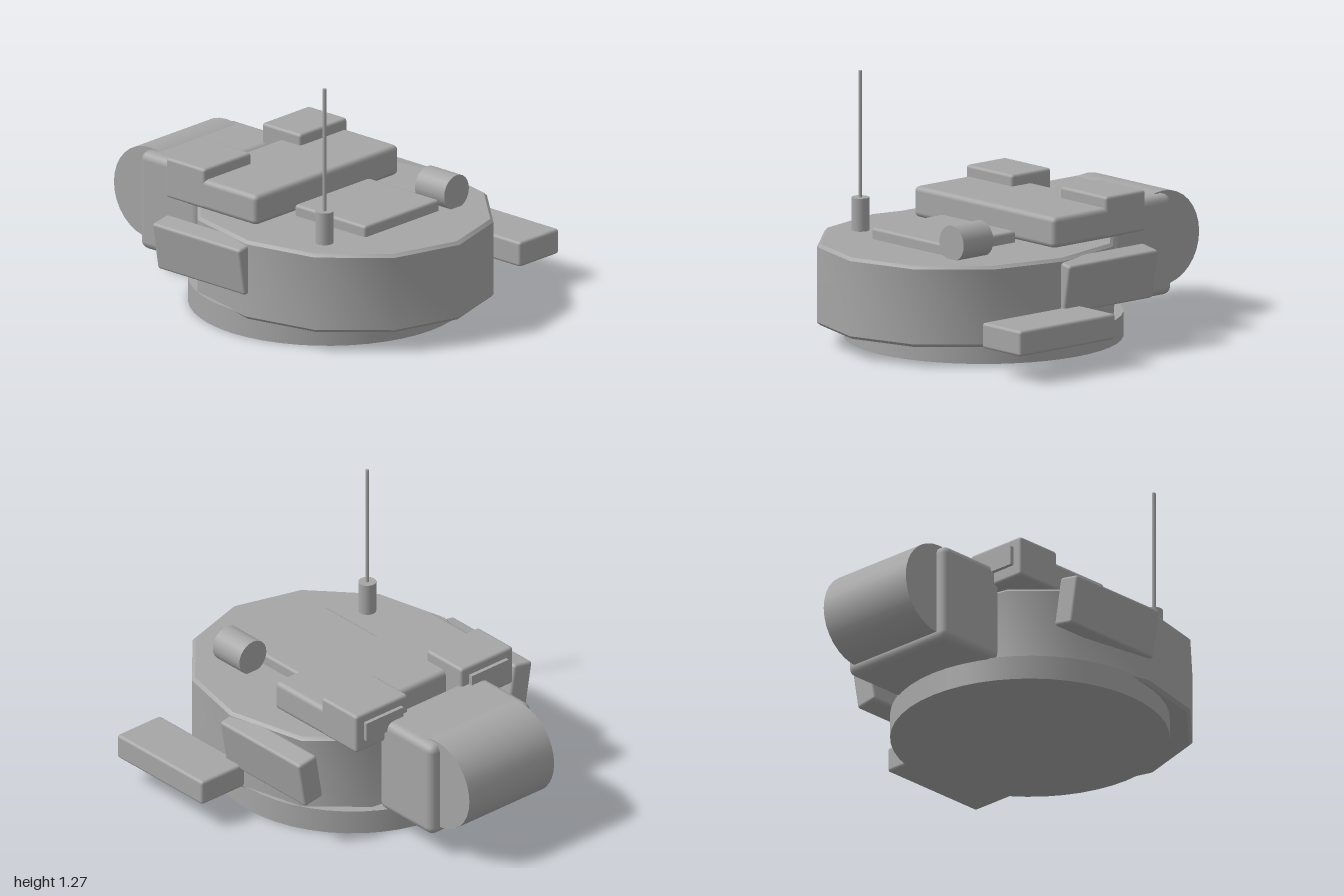
import * as THREE from 'three';
import { toCreasedNormals } from 'three/addons/utils/BufferGeometryUtils.js';
import { RoundedBoxGeometry } from 'three/addons/geometries/RoundedBoxGeometry.js';

const CX = -0.105; // symmetry plane of the turret

export function createModel() {
  const model = new THREE.Group();
  const grey = new THREE.MeshStandardMaterial({ color: 0xa6a6a6 });
  grey.name = 'grey paint';

  const add = (name, geometry, x = 0, y = 0, z = 0) => {
    const mesh = new THREE.Mesh(geometry, grey);
    mesh.name = name;
    mesh.position.set(x, y, z);
    model.add(mesh);
    return mesh;
  };
  // Rounded box from its min and max on each axis
  const box = (name, [x0, x1], [y0, y1], [z0, z1], r = 0.015) =>
    add(name, new RoundedBoxGeometry(x1 - x0, y1 - y0, z1 - z0, 2, r),
      (x0 + x1) / 2, (y0 + y1) / 2, (z0 + z1) / 2);

  // Turret ring
  add('turretRing', new THREE.CylinderGeometry(0.665, 0.665, 0.12, 48), CX, 0.06, 0.135);

  // Twelve-sided turret body with a small bevel
  const half = [[0, 0.99], [0.345, 0.89], [0.6, 0.61], [0.685, 0.24], [0.592, -0.16], [0.345, -0.39], [0, -0.45]];
  const outline = [...half, ...half.slice(1, -1).reverse().map(([x, z]) => [-x, z])];
  const bevel = 0.015;
  const shape = new THREE.Shape(outline.map(([x, z]) => new THREE.Vector2(x, -z)));
  const body = new THREE.ExtrudeGeometry(shape, {
    depth: 0.395 - 2 * bevel, bevelEnabled: true, bevelSize: bevel,
    bevelThickness: bevel, bevelOffset: -bevel, bevelSegments: 1,
  });
  body.rotateX(-Math.PI / 2);
  add('turretBody', toCreasedNormals(body, 0.62), CX, 0.1 + bevel, 0);

  // Rear bustle and the horizontal drum behind it
  box('rearBustle', [-0.43, 0.217], [0.115, 0.605], [-0.79, -0.405], 0.04);
  const drum = new THREE.CylinderGeometry(0.23, 0.23, 0.54, 32);
  drum.rotateZ(Math.PI / 2);
  add('rearDrum', drum, CX, 0.385, -0.77);

  // Roof housing and hatch
  box('roofHousing', [-0.605, 0.395], [0.495, 0.645], [-0.34, 0.135], 0.025);
  box('hatch', [-0.365, 0.155], [0.475, 0.55], [0.16, 0.62]);

  // Paired parts: roof pods with rear plates, and leaning side boxes
  for (const side of [-1, 1]) {
    const label = side > 0 ? 'left' : 'right';
    const px = CX + side * 0.335;
    box(label + 'RoofPod', [px - 0.165, px + 0.165], [0.5, 0.7], [-0.452, -0.2]);
    add(label + 'PodPlate', new THREE.BoxGeometry(0.235, 0.095, 0.025), px, 0.608, -0.4595);
    const sideBox = add(label + 'SideBox',
      new RoundedBoxGeometry(0.115, 0.243, 0.57, 2, 0.015), CX + side * 0.667, 0.355, -0.032);
    sideBox.rotation.z = -side * 0.17;
  }

  // Stowage box on the left flank
  box('stowageBox', [0.57, 0.845], [0.13, 0.255], [0.145, 0.755]);

  // Forward-facing sight
  const sight = new THREE.CylinderGeometry(0.086, 0.086, 0.19, 24);
  sight.rotateX(Math.PI / 2);
  add('sight', sight, 0.24, 0.572, 0.555);

  // Antenna
  add('antennaBase', new THREE.CylinderGeometry(0.043, 0.043, 0.17, 20), -0.547, 0.57, 0.525);
  add('antennaRod', new THREE.CylinderGeometry(0.009, 0.009, 0.63, 10), -0.547, 0.955, 0.525);

  return model;
}
